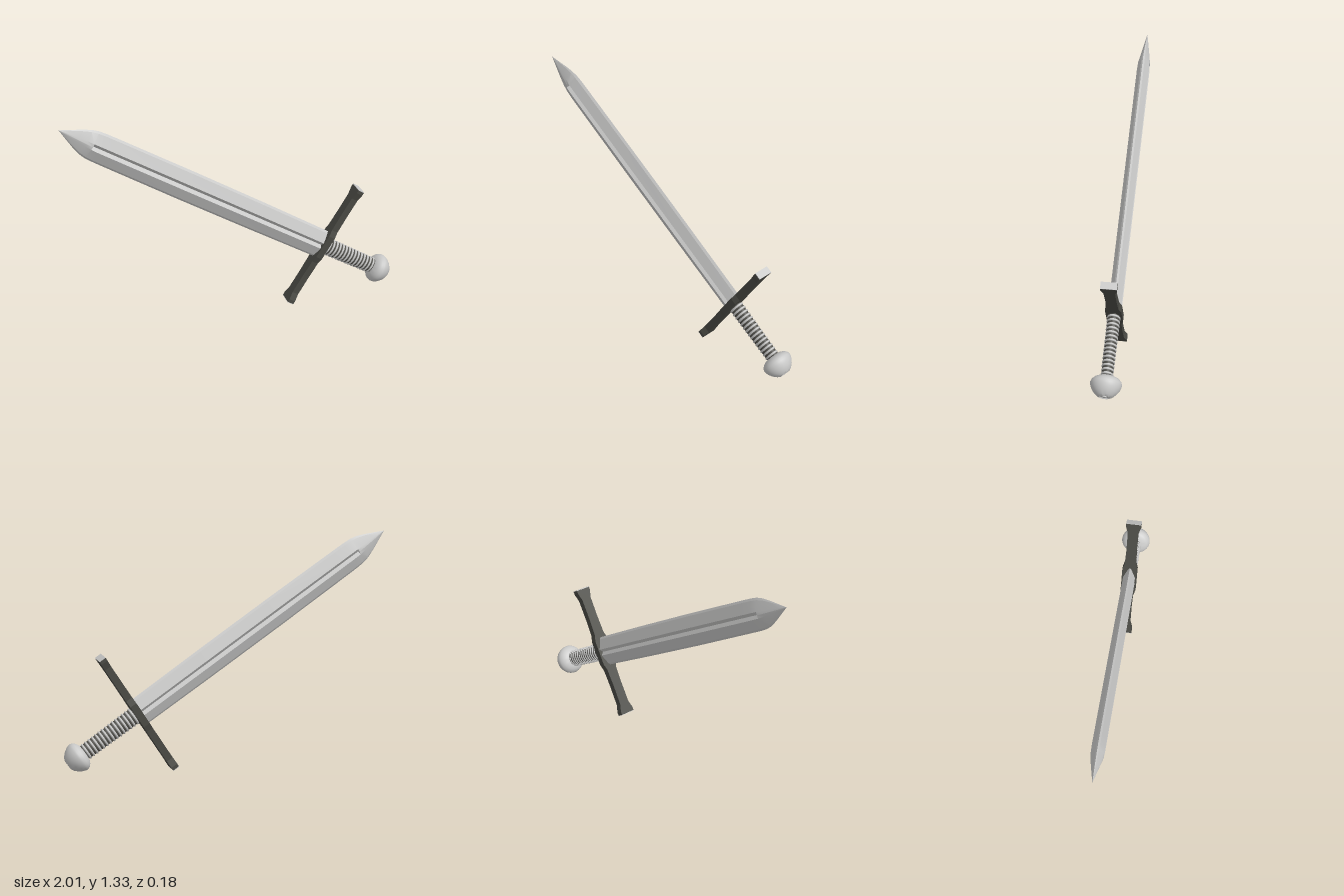
import * as THREE from 'three';
import { toCreasedNormals } from 'three/addons/utils/BufferGeometryUtils.js';

const steel = new THREE.MeshStandardMaterial({ name: 'steel', color: 0xc9c9c8 });
const darkIron = new THREE.MeshStandardMaterial({ name: 'darkIron', color: 0x4a4a44 });
const gripDark = new THREE.MeshStandardMaterial({ name: 'gripDark', color: 0x504f4a });

function add(parent, name, geometry, material) {
  const mesh = new THREE.Mesh(geometry, material);
  mesh.name = name;
  parent.add(mesh);
  return mesh;
}

// Blade cross-section: bevels with a narrow edge facet and a V fuller on both faces
function bladeSection(y, w, t, centre) {
  const g = 0.21 * w;
  const half = [[w, 0], [w * 0.87, t * 0.28], [g, t], [0, centre], [-g, t], [-w * 0.87, t * 0.28]];
  return [...half, ...half.map(([x, z]) => [-x, -z])].map(([x, z]) => new THREE.Vector3(x, y, z));
}

function bladeGeometry() {
  const T = 0.037, D = 0.02;
  // y, half width, half thickness, centre height
  const rings = [
    [0, 0.09, T, D], [0.5, 0.094, T, D], [1.0, 0.095, T, D], [1.5, 0.092, T, D],
    [1.58, 0.091, T, D], [1.63, 0.088, T * 0.95, D], [1.63, 0.088, T * 0.95, T],
    [1.67, 0.079, 0.028, 0.031], [1.72, 0.059, 0.02, 0.0225], [1.78, 0.03, 0.01, 0.0115],
    [1.84, 0.0005, 0.0003, 0.0003],
  ].map((r) => bladeSection(...r));
  const pos = [];
  const tri = (...pts) => pts.forEach((p) => pos.push(p.x, p.y, p.z));
  const n = rings[0].length;
  for (let i = 0; i < rings.length - 1; i++) {
    for (let j = 0; j < n; j++) {
      const k = (j + 1) % n;
      const a = rings[i][j], b = rings[i][k], c = rings[i + 1][k], d = rings[i + 1][j];
      tri(a, d, b);
      tri(b, d, c);
    }
  }
  const geo = new THREE.BufferGeometry();
  geo.setAttribute('position', new THREE.Float32BufferAttribute(pos, 3));
  geo.computeVertexNormals();
  return toCreasedNormals(geo, 0.25);
}

// Crossguard outline: flared at the middle and at both ends
function guardGeometry() {
  const quarter = [[0.41, 0.046], [0.39, 0.046], [0.345, 0.032], [0.22, 0.031], [0.115, 0.034], [0.075, 0.046]];
  const top = [...quarter, ...quarter.map(([x, z]) => [-x, z]).reverse()];
  const outline = [...top, ...top.map(([x, z]) => [-x, -z])];
  const shape = new THREE.Shape(outline.map(([x, z]) => new THREE.Vector2(x, z)));
  return new THREE.ExtrudeGeometry(shape, { depth: 0.042, bevelEnabled: false })
    .translate(0, 0, -0.021).rotateX(-Math.PI / 2);
}

export function createModel() {
  const group = new THREE.Group();
  group.name = 'sword';

  // Local frame: +y runs to the tip, x along the guard
  const sword = new THREE.Group();
  sword.name = 'tiltedSword';
  sword.position.set(0.5625, 0.3625, 0);
  sword.rotation.z = THREE.MathUtils.degToRad(58.25);
  group.add(sword);

  add(sword, 'blade', bladeGeometry(), steel);
  add(sword, 'crossguard', guardGeometry(), darkIron);
  for (const s of [1, -1]) {
    const cap = add(sword, 'guardEndFace', new THREE.BoxGeometry(0.004, 0.042, 0.092), steel);
    cap.position.x = s * 0.411;
  }

  // Oval grip core
  const core = add(sword, 'gripCore', new THREE.CylinderGeometry(0.05, 0.046, 0.37, 32), gripDark);
  core.position.y = -0.2;
  core.scale.z = 0.68;

  // Wire wrap around the grip
  const turns = 15;
  for (let i = 0; i < turns; i++) {
    const f = i / (turns - 1);
    const ring = add(sword, 'gripWire',
      new THREE.TorusGeometry(0.05 - 0.004 * f, 0.0065, 8, 32).rotateX(Math.PI / 2), steel);
    ring.position.y = -0.032 - 0.335 * f;
    ring.scale.z = 0.68;
  }

  // Mushroom pommel with a small peened rivet
  const profile = [
    [0, 0.492], [0.026, 0.492], [0.031, 0.498], [0.048, 0.489], [0.068, 0.469], [0.081, 0.449],
    [0.088, 0.43], [0.089, 0.418], [0.084, 0.404], [0.07, 0.39], [0.05, 0.38], [0, 0.376],
  ].map(([r, d]) => new THREE.Vector2(r, -d));
  add(sword, 'pommel', toCreasedNormals(new THREE.LatheGeometry(profile, 40), 0.6), steel);
  const rivet = add(sword, 'pommelRivet', new THREE.CylinderGeometry(0.015, 0.012, 0.008, 6), steel);
  rivet.position.y = -0.494;

  return group;
}
